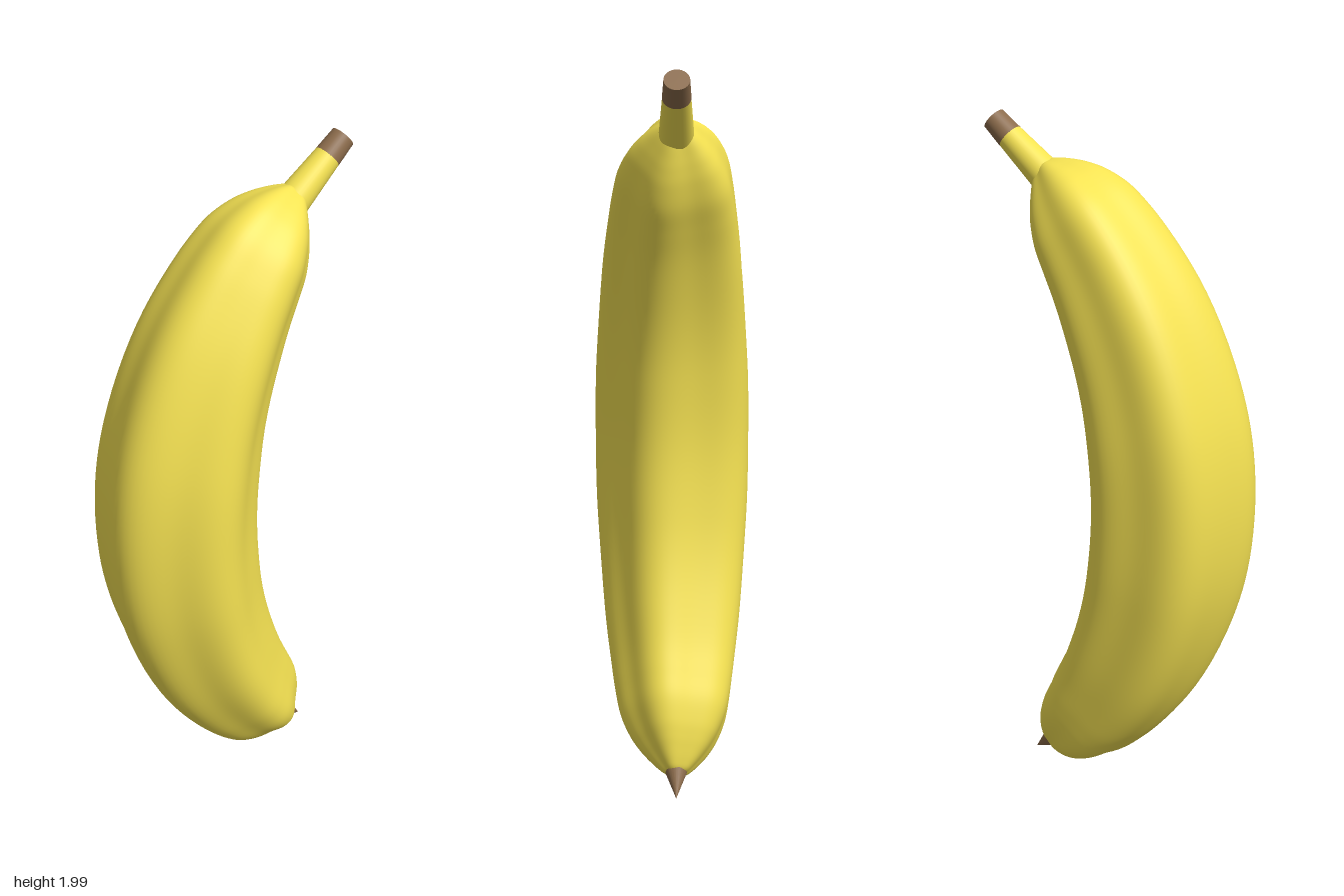
import * as THREE from 'three';

const CX = -0.012;                      // sideways position of the spine
const ARC = { z: -1.01, y: 0.96, r: 1.19 }; // circle the spine follows
const yellow = new THREE.MeshStandardMaterial({ color: 0xf5e252 });
const brown = new THREE.MeshStandardMaterial({ color: 0x8c6c4c });

// Half of the body's radius profile: [degrees along the arc from the middle, radius]
const HALF = [[0, 0.223], [8, 0.221], [15, 0.213], [25.5, 0.196], [33, 0.177], [37, 0.165],
  [40.5, 0.15], [43.5, 0.124], [45.5, 0.098], [47, 0.073], [48.2, 0.05], [49, 0.03], [49.3, 0.006]];

// Curved body: five-ridged cross-sections swept along the arc
function bodyGeometry(sides = 80, rings = 120) {
  const mirrored = HALF.slice(1).reverse().map(([a, r]) => [-a, r]);
  const profile = new THREE.SplineCurve([...mirrored, ...HALF].map(([a, r]) => new THREE.Vector2(a, r)));
  const positions = [], indices = [];
  for (let j = 0; j <= rings; j++) {
    const p = profile.getPoint(j / rings);
    const phi = THREE.MathUtils.degToRad(p.x);
    for (let i = 0; i < sides; i++) {
      const t = (i / sides) * Math.PI * 2;
      const r = p.y * (1 + 0.06 * Math.cos(5 * t));
      const d = ARC.r + r * Math.sin(t);
      positions.push(CX + r * Math.cos(t), ARC.y + d * Math.sin(phi), ARC.z + d * Math.cos(phi));
      if (j < rings) {
        const a = j * sides + i, b = j * sides + (i + 1) % sides;
        indices.push(a, a + sides, b, b, a + sides, b + sides);
      }
    }
  }
  const g = new THREE.BufferGeometry();
  g.setAttribute('position', new THREE.Float32BufferAttribute(positions, 3));
  g.setIndex(indices);
  g.computeVertexNormals();
  return g;
}

// Places a y-aligned geometry so it runs between two [y, z] points on the middle plane
function alongAxis(name, geometry, material, from, to) {
  const a = new THREE.Vector3(CX, ...from), b = new THREE.Vector3(CX, ...to);
  const mesh = new THREE.Mesh(geometry, material);
  mesh.name = name;
  mesh.position.copy(a).add(b).multiplyScalar(0.5);
  mesh.quaternion.setFromUnitVectors(new THREE.Vector3(0, 1, 0), b.clone().sub(a).normalize());
  return mesh;
}

export function createModel() {
  const group = new THREE.Group();
  group.name = 'banana';

  const body = new THREE.Mesh(bodyGeometry(), yellow);
  body.name = 'body';
  group.add(body);

  // Tapered stem with a brown cut end
  group.add(alongAxis('stem', new THREE.CylinderGeometry(0.037, 0.048, 0.17, 32),
    yellow, [1.827, -0.21], [1.935, -0.341]));
  group.add(alongAxis('stemCap', new THREE.CylinderGeometry(0.034, 0.038, 0.068, 32),
    brown, [1.929, -0.334], [1.973, -0.386]));

  // Dried pointed tip at the lower end
  group.add(alongAxis('blossomTip', new THREE.ConeGeometry(0.038, 0.1, 24),
    brown, [0.076, -0.214], [0.01, -0.29]));

  return group;
}
